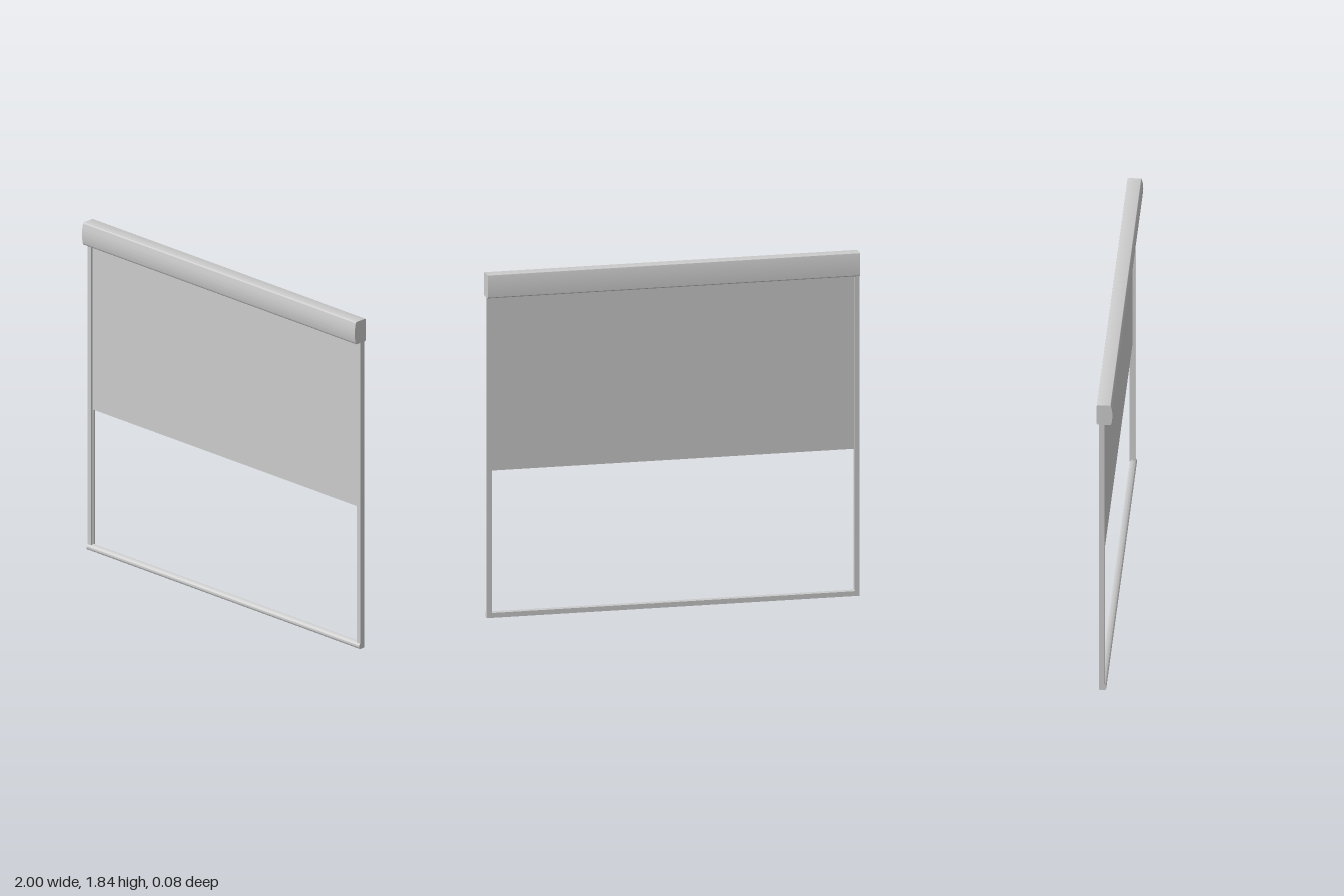
import * as THREE from 'three';
import { toCreasedNormals } from 'three/addons/utils/BufferGeometryUtils.js';

const material = new THREE.MeshStandardMaterial({ color: 0xcccccc });
const fabricMaterial = new THREE.MeshStandardMaterial({ color: 0xcccccc, side: THREE.DoubleSide });

function addMesh(group, name, geometry, mat = material) {
  const mesh = new THREE.Mesh(geometry, mat);
  mesh.name = name;
  group.add(mesh);
  return mesh;
}

// Extrudes a (z, y) section along the full width in x.
function acrossWidth(shape, width) {
  const g = new THREE.ExtrudeGeometry(shape, { depth: width, bevelEnabled: false, curveSegments: 16 });
  g.translate(0, 0, -width / 2);
  g.rotateY(-Math.PI / 2); // section x becomes +z
  return toCreasedNormals(g, 0.5);
}

export function createModel() {
  const group = new THREE.Group();
  group.name = 'rollerBlind';

  // Head box: flat back, bowed front, small rounded corners
  const head = new THREE.Shape();
  head.moveTo(-0.041, 1.717);
  head.lineTo(-0.036, 1.712);
  head.lineTo(0.027, 1.712);
  head.quadraticCurveTo(0.032, 1.712, 0.034, 1.718);
  head.quadraticCurveTo(0.048, 1.773, 0.034, 1.829);
  head.quadraticCurveTo(0.033, 1.837, 0.028, 1.837);
  head.lineTo(-0.035, 1.837);
  head.quadraticCurveTo(-0.041, 1.837, -0.041, 1.831);
  head.closePath();
  addMesh(group, 'headBox', acrossWidth(head, 2));

  // Side rails: channels with the slot facing inward
  const railShape = new THREE.Shape([
    [1, 0], [1, 0.029], [0.975, 0.029], [0.975, 0.019], [0.986, 0.019],
    [0.986, 0.010], [0.975, 0.010], [0.975, 0],
  ].map(([x, y]) => new THREE.Vector2(x, y)));
  const railGeometry = new THREE.ExtrudeGeometry(railShape, { depth: 1.702, bevelEnabled: false });
  railGeometry.rotateX(-Math.PI / 2);
  railGeometry.translate(0, 0.012, 0);
  addMesh(group, 'leftRail', railGeometry);
  const right = railGeometry.clone();
  right.rotateY(Math.PI);
  right.translate(0, 0, -0.029);
  addMesh(group, 'rightRail', right);

  // Bottom bar: square back with a rounded front nose
  const bar = new THREE.Shape();
  bar.moveTo(-0.028, 0);
  bar.lineTo(0.002, 0);
  bar.quadraticCurveTo(0.008, 0.002, 0.009, 0.014);
  bar.quadraticCurveTo(0.008, 0.025, 0.001, 0.028);
  bar.lineTo(-0.007, 0.030);
  bar.lineTo(-0.022, 0.030);
  bar.lineTo(-0.028, 0.026);
  bar.closePath();
  addMesh(group, 'bottomBar', acrossWidth(bar, 2));

  // Half lowered fabric sheet running in the rail slots
  const fabric = new THREE.BoxGeometry(1.968, 0.945, 0.003);
  fabric.translate(0, 1.2575, -0.0145);
  addMesh(group, 'fabric', fabric, fabricMaterial);

  return group;
}
